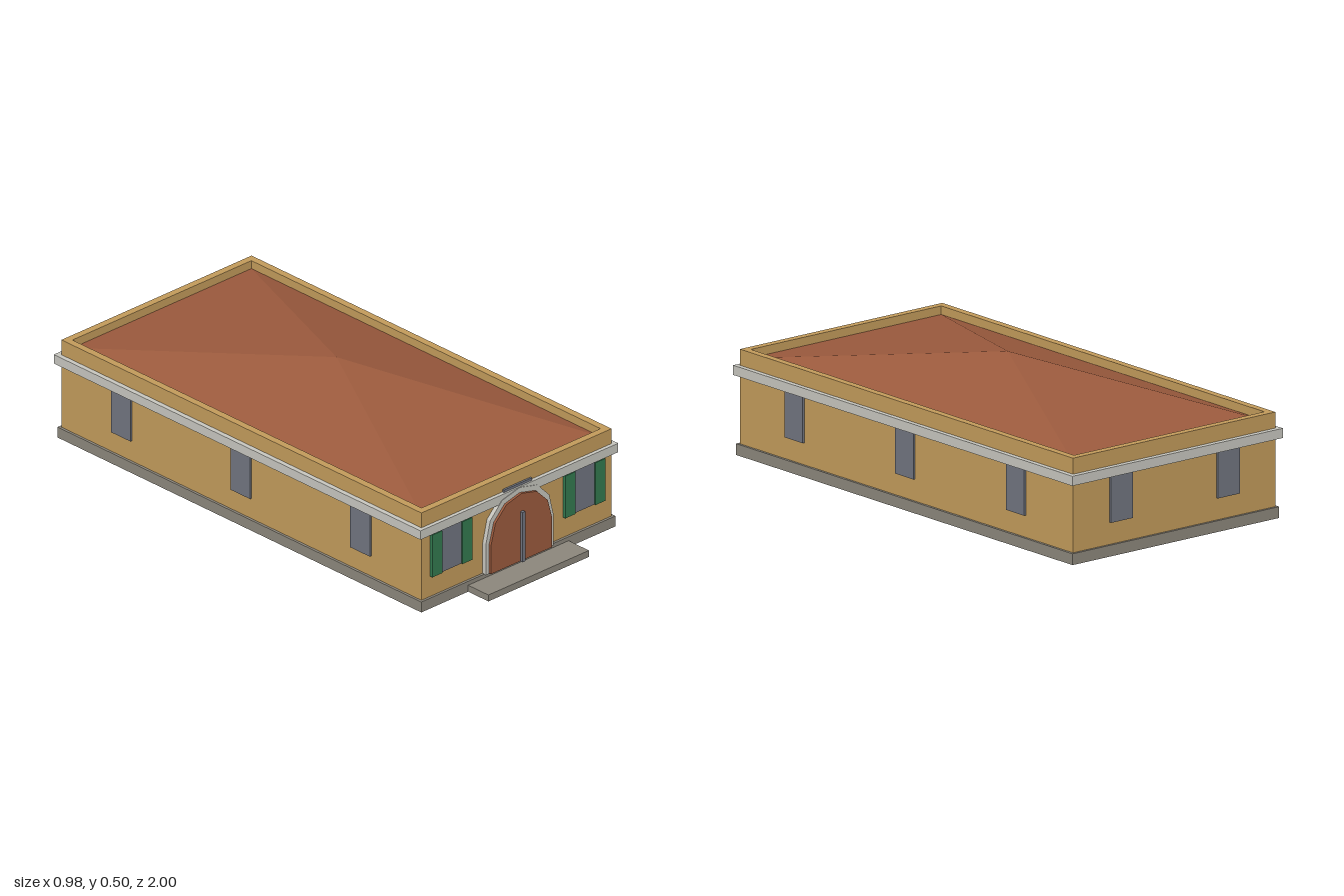
import * as THREE from 'three';

const paint = (name, color) => {
  const m = new THREE.MeshStandardMaterial({ color });
  m.name = name;
  return m;
};

export function createModel() {
  const group = new THREE.Group();
  const wall = paint('ochre wall', 0xc19a5a);
  const stone = paint('grey stone', 0x8b867b);
  const trim = paint('pale trim', 0xc6c5be);
  const tile = paint('terracotta', 0x9b5a3d);
  const slate = paint('slate glass', 0x70747f);
  const green = paint('green shutter', 0x33794f);

  const add = (name, geometry, material) => {
    const mesh = new THREE.Mesh(geometry, material);
    mesh.name = name;
    group.add(mesh);
    return mesh;
  };
  // Box given by its limits on each axis
  const box = (name, material, x0, x1, y0, y1, z0, z1) => {
    const g = new THREE.BoxGeometry(x1 - x0, y1 - y0, z1 - z0);
    g.translate((x0 + x1) / 2, (y0 + y1) / 2, (z0 + z1) / 2);
    return add(name, g, material);
  };

  const W = 0.473, BACK = -0.98, FRONT = 0.885, MID = (BACK + FRONT) / 2;

  // Base, walls and cornice
  box('plinth', stone, -0.483, 0.483, 0, 0.042, -0.99, 0.895);
  box('entranceStep', stone, -0.25, 0.25, 0, 0.026, 0.895, 1);
  box('walls', wall, -W, W, 0.042, 0.36, BACK, FRONT);
  box('cornice', trim, -0.492, 0.492, 0.299, 0.335, -1, 0.9);

  // Parapet around the roof
  const T = 0.028;
  for (const s of [-1, 1]) {
    const x = s * (W - T / 2);
    box('parapetSide', wall, x - T / 2, x + T / 2, 0.36, 0.395, BACK, FRONT);
  }
  box('parapetFront', wall, -W + T, W - T, 0.36, 0.395, FRONT - T, FRONT);
  box('parapetBack', wall, -W + T, W - T, 0.36, 0.395, BACK, BACK + T);

  // Shallow four-sided roof inside the parapet
  const roofShape = new THREE.ConeGeometry(Math.SQRT1_2, 1, 4, 1, true);
  roofShape.rotateY(Math.PI / 4);
  roofShape.scale(2 * (W - T), 0.142, FRONT - BACK - 2 * T);
  roofShape.translate(0, 0.363 + 0.071, MID);
  const roof = roofShape.toNonIndexed();
  roof.computeVertexNormals();
  add('roof', roof, tile);

  // Arched doorway: half outlines are mirrored to close the arch
  const arch = (half) => {
    const left = half.filter(([x]) => x > 0).reverse().map(([x, y]) => [-x, y]);
    return [...half, ...left].map(([x, y]) => new THREE.Vector2(x, y));
  };
  const inner = arch([[0.152, 0.042], [0.152, 0.16], [0.13, 0.24], [0.076, 0.295], [0, 0.314]]);
  const outer = arch([[0.168, 0.04], [0.168, 0.165], [0.147, 0.252], [0.088, 0.313], [0, 0.334]]);
  const slab = (name, points, material, z0, z1) => {
    const g = new THREE.ExtrudeGeometry(new THREE.Shape(points), { depth: z1 - z0, bevelEnabled: false });
    g.translate(0, 0, z0);
    add(name, g, material);
  };
  slab('doorSurround', outer, trim, 0.88, 0.902);
  slab('door', inner, tile, 0.885, 0.912);
  box('doorBar', slate, -0.007, 0.007, 0.042, 0.243, 0.905, 0.924);
  box('plaqueAboveDoor', slate, -0.07, 0.07, 0.3, 0.345, 0.88, 0.893);

  // Windows and shutters
  const Y0 = 0.124, Y1 = 0.295;
  for (const s of [-1, 1]) {
    const c = s * 0.331;
    box('frontWindow', slate, c - 0.051, c + 0.051, Y0, Y1, 0.88, 0.892);
    for (const t of [-1, 1]) {
      const x = c + t * 0.075;
      box('shutter', green, x - 0.0245, x + 0.0245, Y0, Y1, 0.88, 0.898);
    }
    for (const z of [0.575, -0.045, -0.665]) {
      const x = s * 0.476;
      box('sideWindow', slate, x - 0.005, x + 0.005, Y0, Y1 + 0.005, z - 0.051, z + 0.051);
    }
    const b = s * 0.25;
    box('backWindow', slate, b - 0.051, b + 0.051, Y0, Y1 + 0.005, -0.988, -0.978);
  }

  return group;
}
